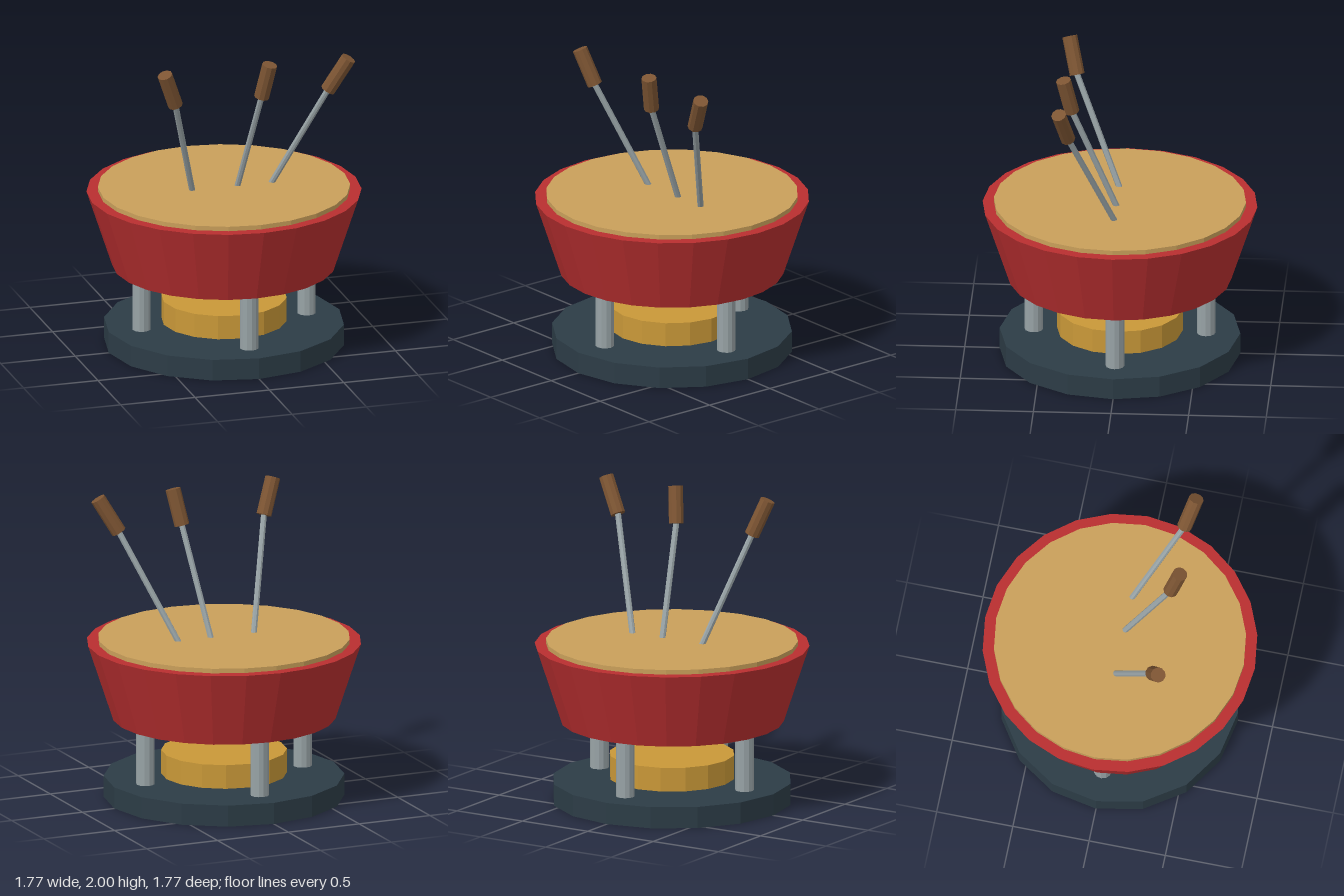
import * as THREE from 'three';

const material = (name, color) => {
  const m = new THREE.MeshStandardMaterial({ color, flatShading: true });
  m.name = name;
  return m;
};

export function createModel() {
  const red = material('red enamel', 0xb92f30);
  const cheese = material('melted cheese', 0xc99f5a);
  const brass = material('brass', 0xc99838);
  const slate = material('dark slate', 0x2c3c46);
  const steel = material('steel', 0x98a3a6);
  const wood = material('brown wood', 0x7d5533);

  const model = new THREE.Group();
  model.name = 'fonduePot';

  // Upright cylinder or cone section between two heights
  const drum = (name, mat, rTop, rBottom, y0, y1, sides, x = 0, z = 0) => {
    const mesh = new THREE.Mesh(new THREE.CylinderGeometry(rTop, rBottom, y1 - y0, sides), mat);
    mesh.position.set(x, (y0 + y1) / 2, z);
    mesh.name = name;
    model.add(mesh);
  };

  // Cylinder running from one point to another
  const up = new THREE.Vector3(0, 1, 0);
  const rod = (name, mat, radius, a, b, sides) => {
    const from = new THREE.Vector3(...a);
    const to = new THREE.Vector3(...b);
    const dir = to.clone().sub(from);
    const mesh = new THREE.Mesh(new THREE.CylinderGeometry(radius, radius, dir.length(), sides), mat);
    mesh.position.copy(from).add(to).multiplyScalar(0.5);
    mesh.quaternion.setFromUnitVectors(up, dir.normalize());
    mesh.name = name;
    return mesh;
  };

  // Stand and burner
  drum('base', slate, 0.775, 0.775, 0, 0.14, 16);
  drum('burner', brass, 0.405, 0.405, 0.153, 0.31, 16);
  for (let i = 0; i < 4; i++) {
    const a = (i * Math.PI) / 2;
    drum('leg', steel, 0.06, 0.06, 0.14, 0.535, 12, 0.555 * Math.sin(a), 0.555 * Math.cos(a));
  }

  // Bowl and its filling
  drum('bowl', red, 0.885, 0.72, 0.53, 1.03, 24);
  drum('filling', cheese, 0.812, 0.812, 1.0, 1.06, 24);

  // Forks: shaft foot, handle bottom, handle top
  const forks = [
    [[-0.215, 1.04, 0.012], [-0.418, 1.749, 0.3], [-0.505, 1.978, 0.353]],
    [[0.083, 1.04, 0.012], [0.161, 1.746, 0.3], [0.2, 1.978, 0.353]],
    [[0.308, 1.04, 0.012], [0.606, 1.749, 0.3], [0.73, 1.97, 0.353]],
  ];
  for (const [foot, grip, tip] of forks) {
    const fork = new THREE.Group();
    fork.name = 'fork';
    fork.add(rod('shaft', steel, 0.02, foot, grip, 8));
    fork.add(rod('handle', wood, 0.049, grip, tip, 10));
    model.add(fork);
  }
  return model;
}
